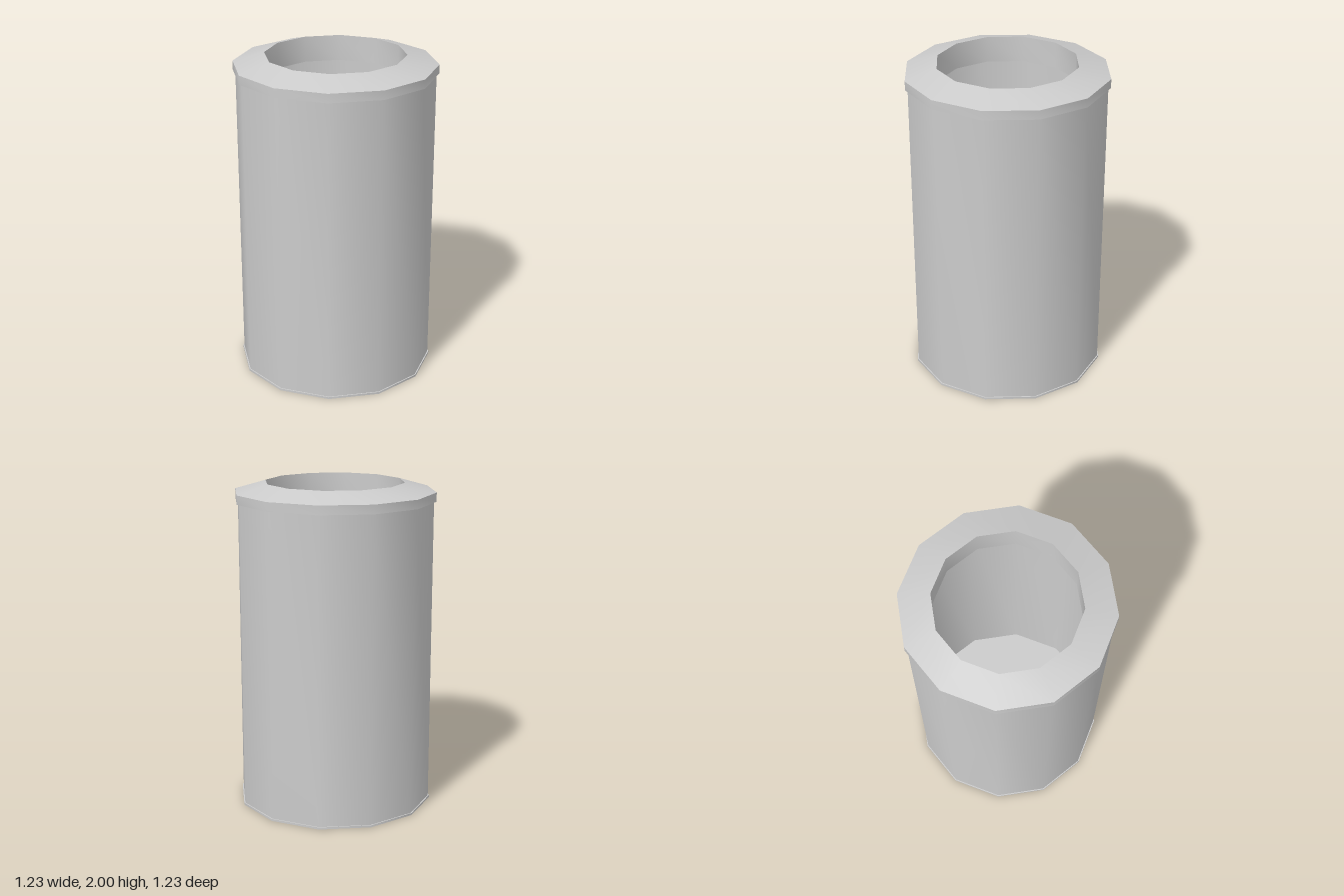
import * as THREE from 'three';
import { toCreasedNormals } from 'three/addons/utils/BufferGeometryUtils.js';

const SIDES = 12;

// Revolves a [radius, height] profile: smooth around, sharp along its rims
function turned(name, profile, material) {
  const points = profile.map(([r, y]) => new THREE.Vector2(r, y));
  const geometry = toCreasedNormals(new THREE.LatheGeometry(points, SIDES), 0.65);
  const mesh = new THREE.Mesh(geometry, material);
  mesh.name = name;
  return mesh;
}

export function createModel() {
  const group = new THREE.Group();
  group.name = 'bin';
  const grey = new THREE.MeshStandardMaterial({ color: 0xcccccc, side: THREE.DoubleSide });

  // Hollow drum: bottom, narrow foot ring, outer wall, inner wall and floor
  group.add(turned('drum', [
    [0, 0], [0.607, 0], [0.607, 0.013], [0.6, 0.013],
    [0.6, 1.9], [0.585, 1.9], [0.585, 0.02], [0, 0.02],
  ], grey));

  // Sloping collar with an overhanging edge and a lip around the opening
  group.add(turned('collar', [
    [0.585, 1.84], [0.585, 1.89], [0.615, 1.89], [0.615, 1.945],
    [0.425, 2], [0.425, 1.84], [0.585, 1.84],
  ], grey));

  return group;
}
